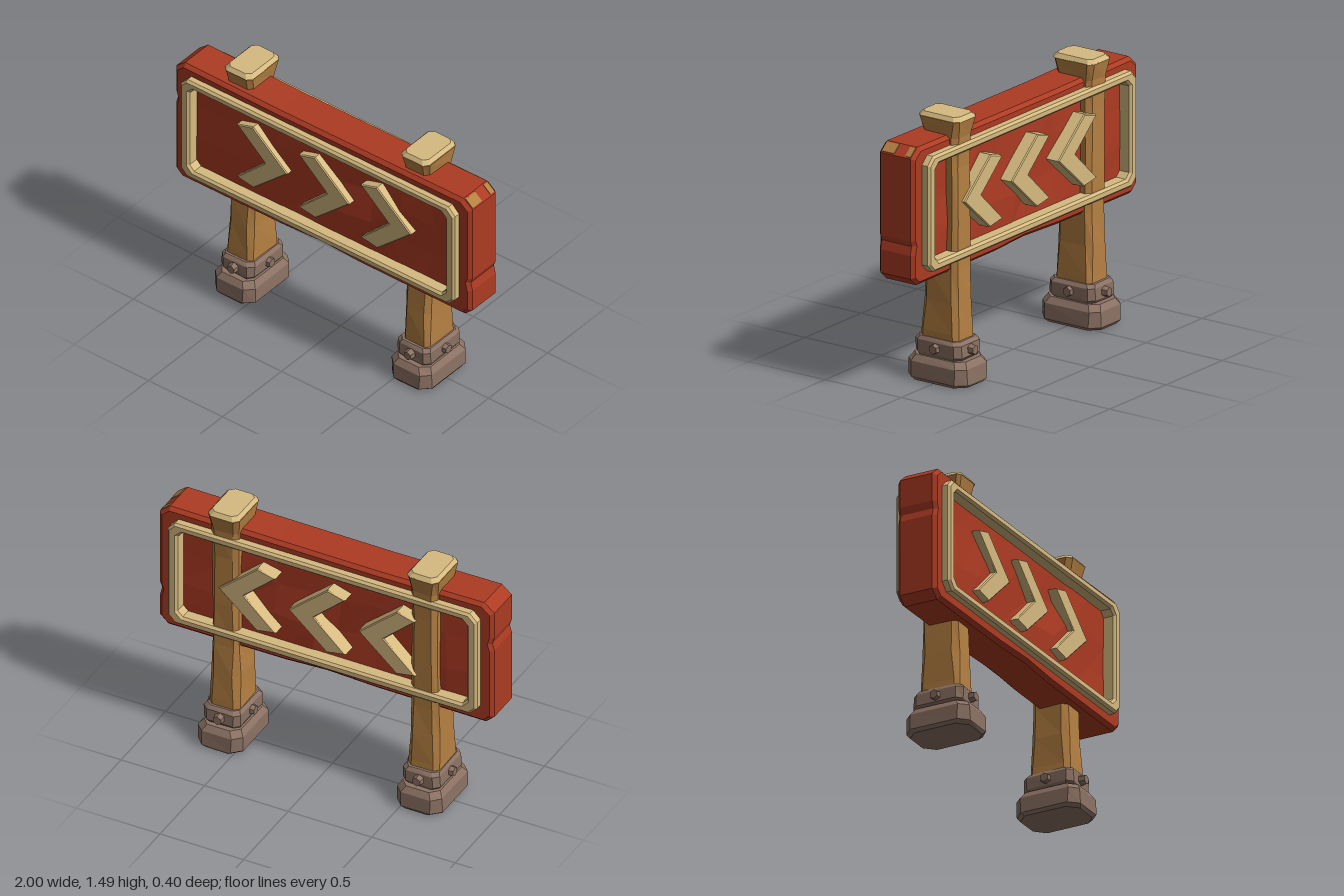
import * as THREE from 'three';

const mat = (name, color) => {
  const m = new THREE.MeshStandardMaterial({ color });
  m.name = name;
  return m;
};

// Repeatable noise in -1..1 for hand-carved facets
let seed = 7;
const rnd = () => {
  seed = (seed * 16807) % 2147483647;
  return (seed / 2147483647) * 2 - 1;
};

function faceted(geo) {
  const g = geo.index ? geo.toNonIndexed() : geo;
  g.computeVertexNormals();
  return g;
}

function mesh(name, geo, material, parent) {
  const m = new THREE.Mesh(faceted(geo), material);
  m.name = name;
  parent.add(m);
  return m;
}

// Stack of chamfered rectangles; each ring is [y, halfX, halfZ, centreZ, chamfer]
function loft(rings, jitter = 0) {
  const pos = [], idx = [], n = 8;
  for (const [y, hx, hz, cz, c] of rings) {
    const pts = [[hx, -hz + c], [hx, hz - c], [hx - c, hz], [-hx + c, hz],
      [-hx, hz - c], [-hx, -hz + c], [-hx + c, -hz], [hx - c, -hz]];
    for (const [x, z] of pts) pos.push(x + rnd() * jitter, y, z + cz + rnd() * jitter);
  }
  const last = rings.length - 1;
  for (let r = 0; r < last; r++) {
    for (let i = 0; i < n; i++) {
      const a = r * n + i, b = r * n + (i + 1) % n;
      idx.push(a, a + n, b + n, a, b + n, b);
    }
  }
  for (let i = 1; i < n - 1; i++) {
    idx.push(0, i, i + 1, last * n, last * n + i + 1, last * n + i);
  }
  const g = new THREE.BufferGeometry();
  g.setAttribute('position', new THREE.Float32BufferAttribute(pos, 3));
  g.setIndex(idx);
  return g;
}

const path = (pts, Type = THREE.Shape) => new Type(pts.map(([x, y]) => new THREE.Vector2(x, y)));

// Rectangle outline with cut corners
const cutRect = (x0, x1, y0, y1, c) => [[x0 + c, y0], [x1 - c, y0], [x1, y0 + c], [x1, y1 - c],
  [x1 - c, y1], [x0 + c, y1], [x0, y1 - c], [x0, y0 + c]];

// Bevelled slab filling z0..z1
function slab(shape, z0, z1, bevel) {
  return new THREE.ExtrudeGeometry(shape, {
    depth: z1 - z0 - 2 * bevel, bevelThickness: bevel, bevelSize: bevel,
    bevelOffset: -bevel, bevelSegments: 1,
  }).translate(0, 0, z0 + bevel);
}

export function createModel() {
  const red = mat('red paint', 0xad3b23);
  const cream = mat('cream trim', 0xd6ba80);
  const wood = mat('wood', 0xb58042);
  const stone = mat('stone', 0x8c7264);
  const model = new THREE.Group();
  model.name = 'directionSign';

  // Board rim with cut corners, worn edges and an opening for the panels
  const rim = path([[-0.95, 0.625], [-0.3, 0.628], [0, 0.64], [0.25, 0.627], [0.95, 0.625],
    [1, 0.67], [1, 0.8], [0.988, 0.85], [1, 0.88], [1, 1.34], [0.94, 1.39],
    [0.3, 1.385], [-0.3, 1.382], [-0.94, 1.39], [-1, 1.34], [-1, 1.18],
    [-0.988, 1.14], [-1, 1.1], [-1, 0.67]]);
  rim.holes.push(path(cutRect(-0.9, 0.9, 0.72, 1.31, 0.03), THREE.Path));
  mesh('boardRim', slab(rim, -0.08, 0.155, 0.02), red, model);

  // Roughly carved panels on both faces
  for (const side of [1, -1]) {
    const g = new THREE.PlaneGeometry(1.82, 0.61, 9, 3);
    const p = g.attributes.position;
    for (let i = 0; i < p.count; i++) {
      const edge = Math.abs(p.getX(i)) > 0.9 || Math.abs(p.getY(i)) > 0.3;
      if (!edge) p.setXYZ(i, p.getX(i) + rnd() * 0.05, p.getY(i) + rnd() * 0.03, rnd() * 0.014);
    }
    if (side < 0) g.rotateY(Math.PI);
    g.translate(0, 1.013, side > 0 ? 0.128 : -0.055);
    mesh(side > 0 ? 'frontPanel' : 'backPanel', g, red, model);
  }

  // Raised trim standing proud of both faces
  const trim = path(cutRect(-0.928, 0.924, 0.69, 1.335, 0.045));
  trim.holes.push(path(cutRect(-0.868, 0.864, 0.742, 1.284, 0.03), THREE.Path));
  mesh('trimFrame', slab(trim, -0.13, 0.2, 0.013), cream, model);

  // Three arrows, seen on both faces
  const arrow = [[-0.375, 1.01], [-0.565, 0.83], [-0.45, 0.808], [-0.222, 1.01],
    [-0.455, 1.212], [-0.563, 1.18]];
  for (let i = 0; i < 3; i++) {
    const shape = path(arrow.map(([x, y]) => [x + i * 0.418, y]));
    mesh('arrow' + (i + 1), slab(shape, -0.132, 0.172, 0.006), cream, model);
  }

  // Chipped paint on the upper left corner
  for (const [z, d] of [[-0.04, 0.035], [0.09, 0.08]]) {
    const chip = mesh('paintChip', new THREE.BoxGeometry(0.062, 0.008, d), wood, model);
    chip.position.set(0.97, 1.365, z);
    chip.rotation.z = -Math.atan2(0.05, 0.06);
  }

  // Two posts with cut tops, stone feet and bolted collars
  for (const [name, x] of [['rightPost', -0.6], ['leftPost', 0.592]]) {
    const post = new THREE.Group();
    post.name = name;
    post.position.x = x;
    model.add(post);

    mesh('shaft', loft([[0.1, 0.092, 0.125, -0.005, 0.025], [0.28, 0.088, 0.119, -0.005, 0.025],
      [0.45, 0.085, 0.112, -0.005, 0.03], [0.63, 0.081, 0.106, -0.007, 0.025],
      [0.9, 0.078, 0.105, -0.008, 0.025], [1.2, 0.078, 0.105, -0.008, 0.025],
      [1.37, 0.082, 0.112, -0.005, 0.025], [1.468, 0.094, 0.135, -0.003, 0.025]], 0.004), wood, post);
    mesh('cutTop', loft([[1.466, 0.094, 0.136, -0.003, 0.025],
      [1.49, 0.076, 0.118, -0.003, 0.025]]), cream, post);

    mesh('foot', loft([[0, 0.122, 0.18, -0.005, 0.055], [0.018, 0.136, 0.193, -0.005, 0.05],
      [0.105, 0.134, 0.19, -0.005, 0.045], [0.14, 0.112, 0.168, -0.005, 0.045]], 0.002), stone, post);
    mesh('collar', loft([[0.138, 0.098, 0.136, -0.005, 0.03], [0.158, 0.11, 0.15, -0.005, 0.03],
      [0.225, 0.11, 0.15, -0.005, 0.03], [0.245, 0.096, 0.134, -0.005, 0.03]], 0.003), stone, post);

    for (let i = 0; i < 4; i++) {
      const a = (i * Math.PI) / 2;
      const bolt = mesh('bolt', new THREE.CylinderGeometry(0.026, 0.034, 0.06, 6).rotateX(Math.PI / 2), stone, post);
      bolt.rotation.y = a;
      bolt.position.set(Math.sin(a) * 0.106, 0.193, Math.cos(a) * 0.153 - 0.005);
    }
  }
  return model;
}
